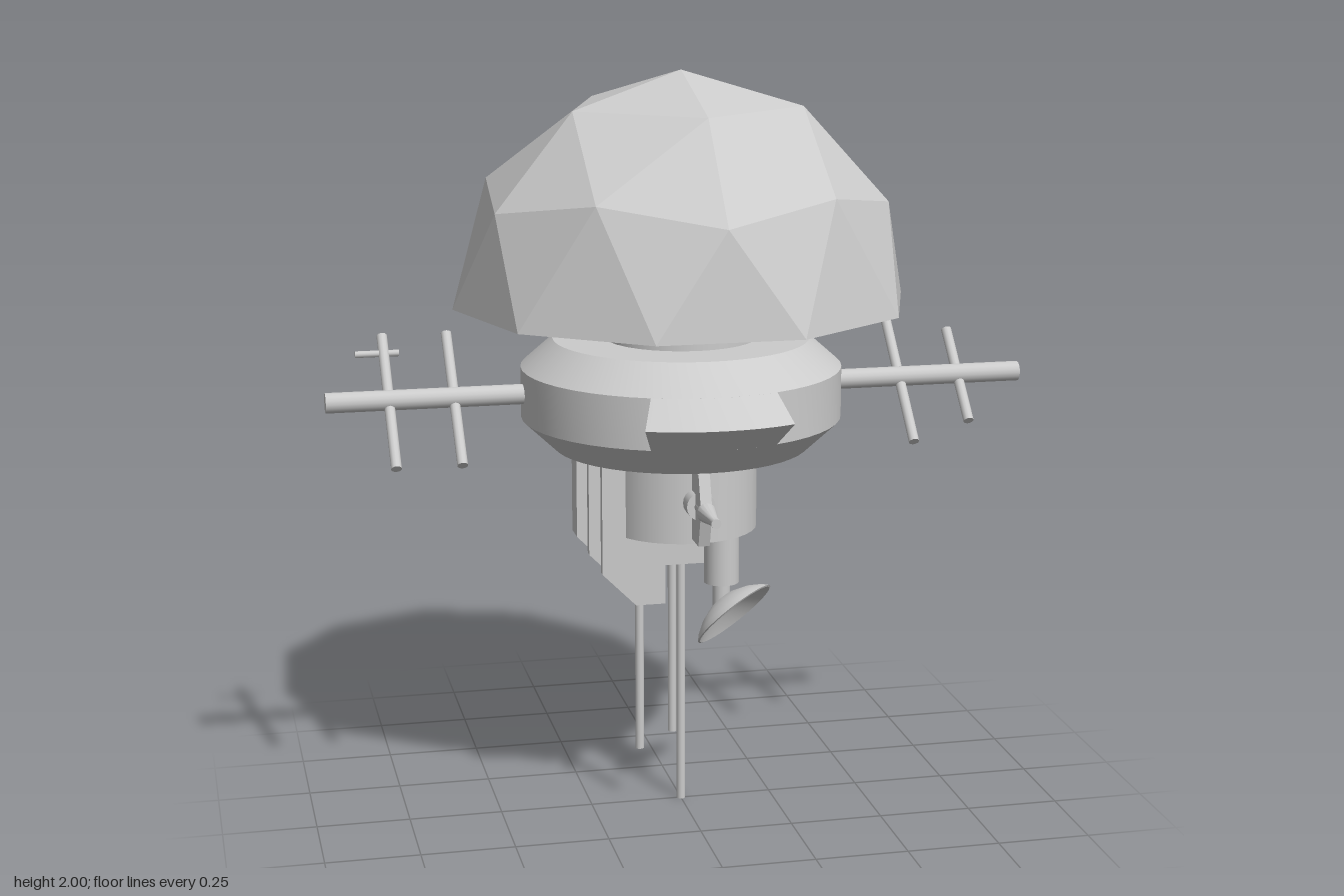
import * as THREE from 'three';
import { toCreasedNormals } from 'three/addons/utils/BufferGeometryUtils.js';
import { ConvexGeometry } from 'three/addons/geometries/ConvexGeometry.js';

const V = (x, y, z) => new THREE.Vector3(x, y, z);
const grey = new THREE.MeshStandardMaterial({ color: 0xcccccc });
const greyFlat = new THREE.MeshStandardMaterial({ color: 0xcccccc, flatShading: true });
const greyDouble = new THREE.MeshStandardMaterial({ color: 0xcccccc, side: THREE.DoubleSide });

function add(parent, name, geometry, material = grey) {
  const mesh = new THREE.Mesh(geometry, material);
  mesh.name = name;
  parent.add(mesh);
  return mesh;
}

// Revolved profile of [radius, height] pairs, with sharp edges between bands
function lathe(profile, segments = 32, start = 0, sweep = Math.PI * 2) {
  const pts = profile.map(([r, y]) => new THREE.Vector2(r, y));
  return toCreasedNormals(new THREE.LatheGeometry(pts, segments, start, sweep), 0.45);
}

// Cylinder between two points
function rod(parent, name, a, b, radius, sides = 12) {
  const mesh = add(parent, name, new THREE.CylinderGeometry(radius, radius, a.distanceTo(b), sides));
  mesh.position.copy(a).lerp(b, 0.5);
  mesh.quaternion.setFromUnitVectors(V(0, 1, 0), b.clone().sub(a).normalize());
  return mesh;
}

// Flat outline in x/y given thickness between z0 and z1
function plate(parent, name, outline, z0, z1) {
  const shape = new THREE.Shape(outline.map(([x, y]) => new THREE.Vector2(x, y)));
  const geo = new THREE.ExtrudeGeometry(shape, { depth: z1 - z0, bevelEnabled: false });
  const mesh = add(parent, name, geo);
  mesh.position.z = z0;
  return mesh;
}

// Half of a geodesic sphere, closed underneath
function domeGeometry(radius) {
  const pts = [V(0, radius, 0)];
  const ring = (y, r, count, offset) => {
    for (let i = 0; i < count; i++) {
      const a = offset + (i * 2 * Math.PI) / count;
      pts.push(V(r * Math.sin(a), y, r * Math.cos(a)).multiplyScalar(radius));
    }
  };
  ring(0.851, 0.526, 5, 0);
  ring(0.447, 0.894, 5, 0);
  ring(0.526, 0.851, 5, Math.PI / 5);
  ring(0, 1, 10, Math.PI / 10);
  return new ConvexGeometry(pts);
}

export function createModel() {
  const model = new THREE.Group();

  // Faceted dome on a neck
  add(model, 'dome', domeGeometry(0.605), greyFlat).position.y = 1.395;
  rod(model, 'neck', V(0, 1.25, 0), V(0, 1.4, 0), 0.203, 32);
  rod(model, 'lowerBody', V(0, 0.785, 0), V(0, 1.05, 0), 0.203, 32);

  // Bevelled ring with a pointed beak at the front
  add(model, 'ring', lathe([[0, 1.01], [0.34, 1.01], [0.425, 1.09], [0.425, 1.225], [0.34, 1.3], [0, 1.3]], 48));
  const beak = new THREE.Group();
  beak.name = 'beak';
  model.add(beak);
  const half = 0.393;
  add(beak, 'beakEdge', lathe([[0.425, 1.09], [0.5, 1.157], [0.425, 1.225]], 8, -half, 2 * half));
  const triangle = new THREE.Shape([[0.42, 1.09], [0.425, 1.09], [0.5, 1.157], [0.425, 1.225], [0.42, 1.225]]
    .map(([x, y]) => new THREE.Vector2(x, y)));
  for (const s of [-1, 1]) {
    add(beak, 'beakEnd', new THREE.ShapeGeometry(triangle), greyDouble).rotation.y = s * half - Math.PI / 2;
  }

  // Rear octagonal housing with a recessed lens
  const h = 0.195, w = 0.18, c = 0.095, cy = 1.145;
  plate(model, 'rearHousing', [
    [-w + c, cy - h], [w - c, cy - h], [w, cy - h + c], [w, cy + h - c],
    [w - c, cy + h], [-w + c, cy + h], [-w, cy + h - c], [-w, cy - h + c],
  ], -0.452, -0.1);
  const lens = add(model, 'rearLens', lathe([[0.125, -0.02], [0.125, 0.02], [0.11, 0.07], [0.085, 0.07], [0.07, 0.03], [0, 0.03]]));
  lens.position.set(0, cy, -0.45);
  lens.rotation.x = -Math.PI / 2;

  // Side booms with diagonal crossbars
  for (const s of [-1, 1]) {
    const boom = new THREE.Group();
    boom.name = s > 0 ? 'leftBoom' : 'rightBoom';
    model.add(boom);
    rod(boom, 'boomArm', V(s * 0.38, 1.163, 0), V(s * 0.94, 1.163, 0), 0.027, 16);
    const bars = s > 0 ? [[0.605, 0.145], [0.77, 0.105]] : [[-0.605, 0.145], [-0.775, 0.145]];
    for (const [x, d] of bars) rod(boom, 'crossbar', V(x, 1.16 - d, d), V(x, 1.16 + d, -d), 0.014);
  }
  rod(model, 'smallCrossbar', V(-0.85, 1.265, -0.108), V(-0.735, 1.265, -0.108), 0.009);

  // Hanging antennas and their mount
  add(model, 'antennaMount', new THREE.BoxGeometry(0.125, 0.12, 0.06)).position.set(0, 0.74, 0);
  for (const [x, z, y] of [[0, 0, 0], [-0.115, 0, 0.155], [0, -0.113, 0.155]]) {
    rod(model, 'antenna', V(x, y, z), V(x, 0.8, z), 0.012);
  }

  // Stepped stack of side fins, narrower and deeper outwards
  const fins = [[-0.29, 0.685, -0.035, 0.035]];
  for (const s of [-1, 1]) {
    fins.push([-0.265, 0.65, s * 0.065 - 0.012, s * 0.065 + 0.012]);
    fins.push([-0.235, 0.597, s * 0.095 - 0.012, s * 0.095 + 0.012]);
  }
  for (const [x, y, z0, z1] of fins) {
    plate(model, 'sideFin', [[x, 1.02], [x, y + 0.09], [x + 0.09, y], [x + 0.17, y], [x + 0.17, 1.02]], z0, z1);
  }

  // Tilted dish under the body
  rod(model, 'dishPost', V(0.09, 0.645, 0.095), V(0.09, 0.8, 0.095), 0.047, 20);
  rod(model, 'dishStem', V(0.09, 0.58, 0.095), V(0.09, 0.66, 0.095), 0.024, 16);
  const dishProfile = [[0, 0], [0.04, 0.005], [0.08, 0.021], [0.11, 0.041], [0.123, 0.055], [0.118, 0.057], [0.08, 0.032], [0.04, 0.016], [0, 0.011]];
  const dish = add(model, 'dish', lathe(dishProfile));
  dish.position.set(0.092, 0.597, 0.092);
  dish.quaternion.setFromUnitVectors(V(0, 1, 0), V(0.52, -0.7, 0.52).normalize());

  // Front nozzle with a thin upright fin
  rod(model, 'nozzleBase', V(0, 0.897, 0.18), V(0, 0.897, 0.247), 0.038, 20);
  const nozzle = add(model, 'nozzle', lathe([[0, 0.2], [0.018, 0.2], [0.018, 0.28], [0.026, 0.31], [0.013, 0.39], [0.013, 0.418], [0, 0.418]], 16));
  nozzle.position.y = 0.897;
  nozzle.rotation.x = Math.PI / 2;
  const fin = plate(model, 'nozzleFin', [[-0.19, 0.8], [-0.19, 0.99], [-0.28, 0.99], [-0.31, 0.9], [-0.28, 0.8]], -0.015, 0.015);
  fin.rotation.y = Math.PI / 2;
  fin.position.set(-0.015, 0, 0);

  return model;
}
